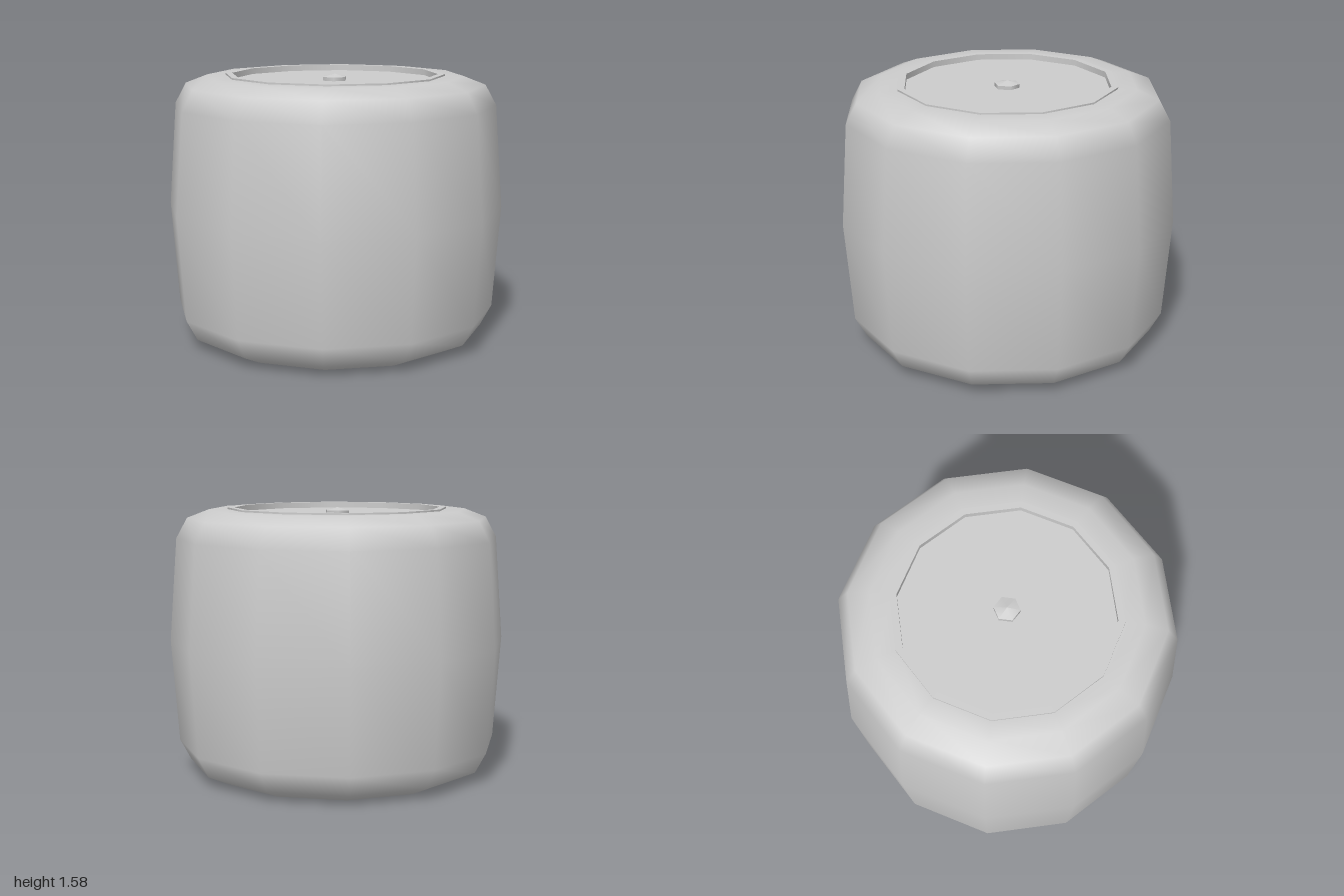
import * as THREE from 'three';

const steel = new THREE.MeshStandardMaterial({ color: 0xcccccc });
steel.name = 'lightGrey';

// Turned part: profile of [radius, height] pairs, listed so faces point outward
function turned(name, profile, sides = 12, start = 0) {
  const points = profile.map(([r, y]) => new THREE.Vector2(r, y));
  const mesh = new THREE.Mesh(new THREE.LatheGeometry(points, sides, start), steel);
  mesh.name = name;
  return mesh;
}

export function createModel() {
  const group = new THREE.Group();
  group.name = 'roundCanister';

  // Bulging body with rounded shoulders and a closed base
  group.add(turned('body', [
    [0, 0], [0.76, 0], [0.89, 0.06], [0.955, 0.18], [1, 0.79],
    [0.955, 1.4], [0.89, 1.52], [0.76, 1.57], [0.64, 1.57],
  ]));

  // Crisp raised rim: separate bands keep its edges sharp
  const rim = new THREE.Group();
  rim.name = 'lidRim';
  rim.add(
    turned('rimOuterWall', [[0.65, 1.56], [0.65, 1.58]]),
    turned('rimTop', [[0.65, 1.58], [0.61, 1.58]]),
    turned('rimInnerWall', [[0.61, 1.58], [0.61, 1.545]]),
  );
  group.add(rim);

  // Recessed lid inside the rim
  group.add(turned('lid', [[0.61, 1.545], [0.3, 1.542], [0, 1.54]]));

  // Small six-sided knob with a shallow pointed cap
  const knob = new THREE.Group();
  knob.name = 'knob';
  knob.add(
    turned('knobSide', [[0.075, 1.535], [0.075, 1.562]], 6, Math.PI / 2),
    turned('knobCap', [[0.075, 1.562], [0, 1.58]], 6, Math.PI / 2),
  );
  group.add(knob);

  return group;
}
